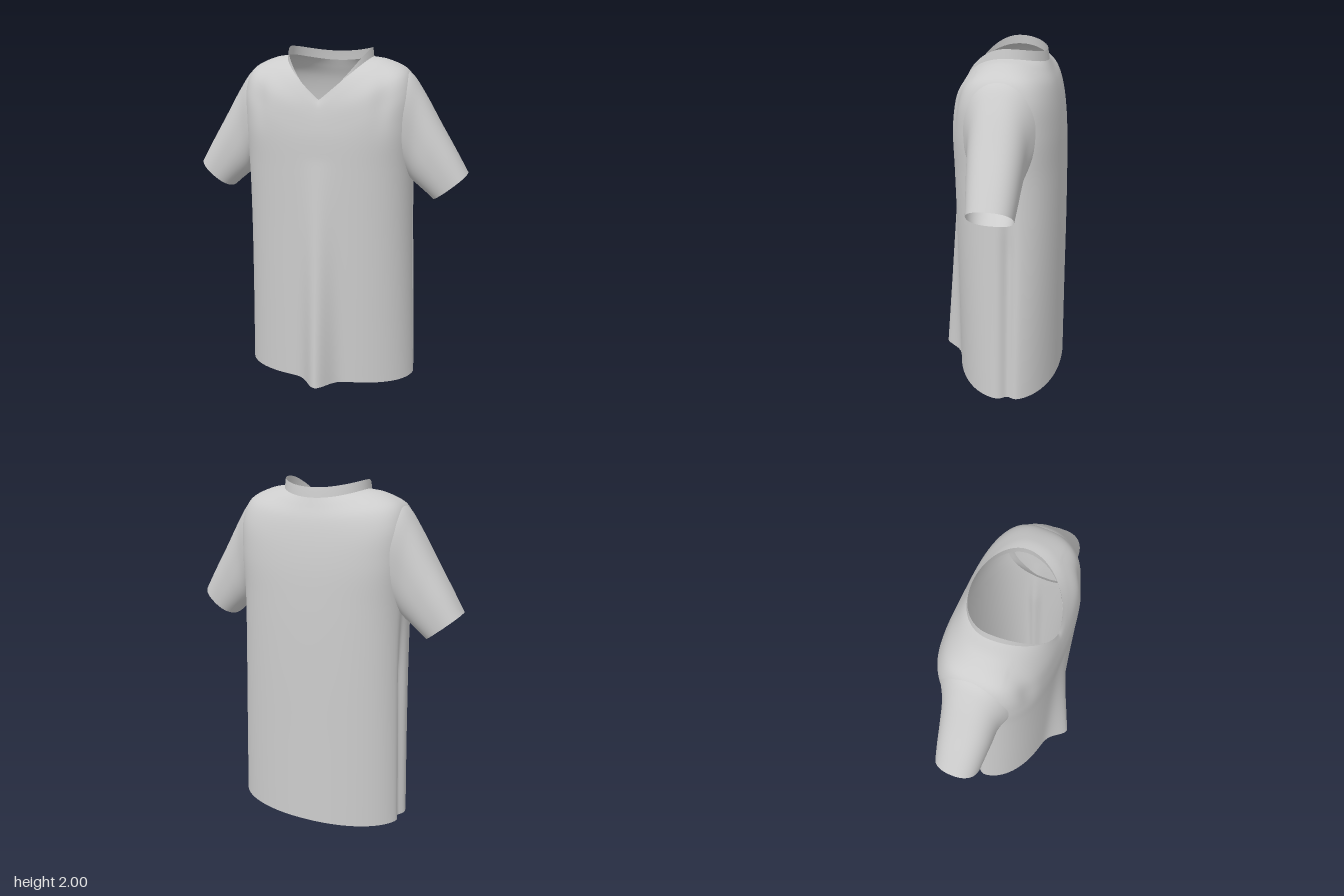
import * as THREE from 'three';

const fabric = new THREE.MeshStandardMaterial({ color: 0xcccccc, side: THREE.DoubleSide });
fabric.name = 'light grey fabric';

const spow = (v, e) => Math.sign(v) * Math.pow(Math.abs(v), e);
const bell = (v, width) => Math.exp(-Math.pow(v / width, 2));

// Joins control rings (arrays of Vector3) into one smooth, closed-around surface.
function loft(name, rings, rows, flip, adjust) {
  const cols = rings[0].length;
  const pos = [], index = [];
  for (let j = 0; j < cols; j++) {
    const curve = new THREE.CatmullRomCurve3(rings.map((r) => r[j]), false, 'centripetal');
    for (let i = 0; i <= rows; i++) {
      const p = curve.getPoint(i / rows);
      if (adjust) adjust(p);
      pos.push(p.x, p.y, p.z);
    }
  }
  const id = (i, j) => (j % cols) * (rows + 1) + i;
  for (let j = 0; j < cols; j++) {
    for (let i = 0; i < rows; i++) {
      const a = id(i, j), b = id(i + 1, j), c = id(i + 1, j + 1), d = id(i, j + 1);
      if (flip) index.push(a, c, b, a, d, c);
      else index.push(a, b, c, a, c, d);
    }
  }
  const geo = new THREE.BufferGeometry();
  geo.setAttribute('position', new THREE.Float32BufferAttribute(pos, 3));
  geo.setIndex(index);
  geo.computeVertexNormals();
  const mesh = new THREE.Mesh(geo, fabric);
  mesh.name = name;
  return mesh;
}

// Rounded-box ring whose height differs at the side, front and back.
function bodyRing([ySide, yFront, yBack, halfX, zFront, zBack, n, vee, mid]) {
  const cols = 180, ring = [];
  for (let j = 0; j < cols; j++) {
    const t = (j / cols) * Math.PI * 2;
    const c = Math.cos(t), s = Math.sin(t);
    const r = Math.pow(Math.pow(Math.abs(c), n) + Math.pow(Math.abs(s), n), -1 / n);
    const cx = c * r, cz = s * r;
    const front = cz > 0;
    const y0 = front ? yFront : yBack;
    const y = y0 + (ySide - y0) * Math.pow(Math.abs(cx), front ? vee : 2);
    ring.push(new THREE.Vector3(cx * halfX, y, mid + cz * (front ? zFront - mid : mid - zBack)));
  }
  return ring;
}

// Hanging folds: a ridge down the front, a groove at each side, dents by the armholes.
function drape(p) {
  const fall = THREE.MathUtils.clamp(1 - p.y / 1.4, 0, 1);
  const ax = Math.abs(p.x), side = Math.sign(p.x);
  if (p.z > 0.1) {
    p.z += 0.118 * fall * bell(p.x, 0.078);
    p.z -= 0.014 * bell(ax - 0.35, 0.05) * bell(p.y - 1.72, 0.13);
  }
  if (ax > 0.4) {
    const edge = Math.min(1, (ax - 0.4) * 12);
    p.x -= side * edge * Math.min(1, fall * 3) * 0.03 * bell(p.z + 0.1, 0.035);
  }
  p.x += 0.01 * fall;
}

// Sleeve ring between a top and a bottom point, with its own depth.
function sleeveRing([topX, topY, lowX, lowY, zFront, zBack], side) {
  const cols = 56, ring = [];
  for (let j = 0; j < cols; j++) {
    const t = (j / cols) * Math.PI * 2;
    const c = spow(Math.cos(t), 0.85), s = spow(Math.sin(t), 0.85);
    ring.push(new THREE.Vector3(
      side * ((topX + lowX) / 2 + (c * (topX - lowX)) / 2),
      (topY + lowY) / 2 + (c * (topY - lowY)) / 2,
      (zFront + zBack) / 2 + (s * (zFront - zBack)) / 2));
  }
  return ring;
}

export function createModel() {
  const shirt = new THREE.Group();
  shirt.name = 'shirt';

  // Body: [side y, front y, back y, half width, front z, back z, squareness, front curve, side z]
  const neckBase = [1.95, 1.73, 1.91, 0.248, 0.222, -0.247, 2, 1.05, -0.05];
  const body = [
    [0.005, 0.035, 0.005, 0.533, 0.265, -0.375, 2.1, 2, -0.08],
    [0.5, 0.5, 0.5, 0.515, 0.265, -0.37, 2.25, 2, -0.08],
    [1.0, 1.0, 1.0, 0.498, 0.265, -0.366, 2.45, 2, -0.07],
    [1.35, 1.33, 1.33, 0.49, 0.265, -0.358, 2.7, 2, -0.055],
    [1.6, 1.52, 1.55, 0.498, 0.263, -0.345, 2.95, 2, -0.05],
    [1.78, 1.6, 1.7, 0.49, 0.256, -0.323, 2.95, 2, -0.05],
    [1.875, 1.66, 1.8, 0.45, 0.247, -0.297, 2.7, 1.6, -0.05],
    [1.935, 1.7, 1.865, 0.335, 0.237, -0.268, 2.2, 1.35, -0.05],
    neckBase,
  ];
  shirt.add(loft('body', body.map(bodyRing), 64, false, drape));

  // Collar: low stand that runs out into the point of the neckline
  const collar = [neckBase, [1.975, 1.73, 1.94, 0.245, 0.222, -0.243, 2, 1.2, -0.05],
    [2.0, 1.73, 1.965, 0.242, 0.222, -0.239, 2, 1.35, -0.05]];
  shirt.add(loft('collar', collar.map(bodyRing), 4, false));

  // Sleeves: [top x, top y, bottom x, bottom y, front z, back z]
  const sleeve = [
    [0.41, 1.885, 0.43, 1.36, 0.165, -0.255],
    [0.465, 1.862, 0.455, 1.31, 0.14, -0.23],
    [0.535, 1.772, 0.492, 1.258, 0.112, -0.202],
    [0.65, 1.58, 0.535, 1.222, 0.1, -0.187],
    [0.735, 1.44, 0.58, 1.185, 0.09, -0.178],
    [0.812, 1.308, 0.62, 1.15, 0.08, -0.168],
  ];
  for (const side of [1, -1]) {
    const name = side > 0 ? 'leftSleeve' : 'rightSleeve';
    shirt.add(loft(name, sleeve.map((r) => sleeveRing(r, side)), 30, side > 0));
  }
  return shirt;
}
